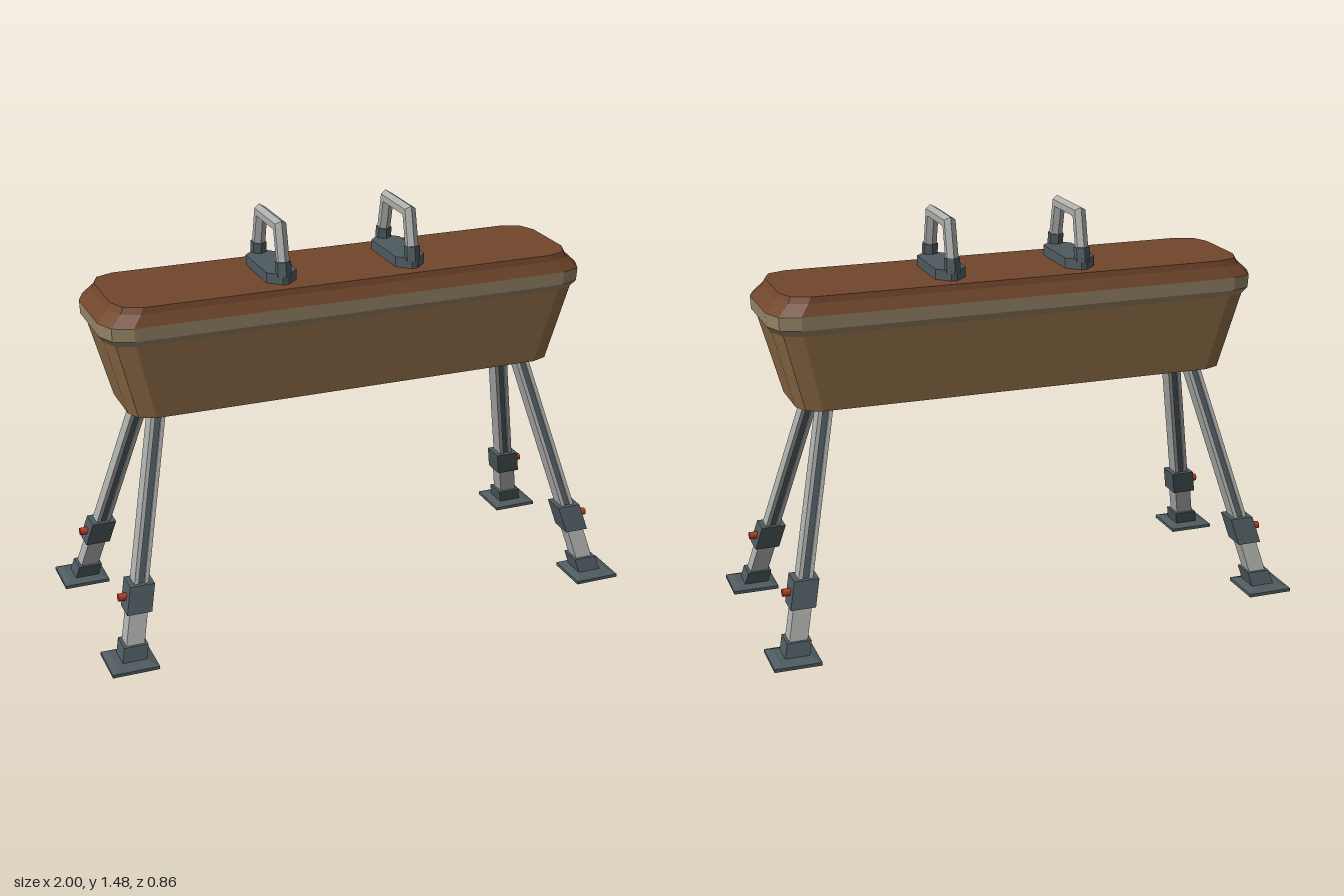
import * as THREE from 'three';

const mat = (name, color) => {
  const m = new THREE.MeshStandardMaterial({ color });
  m.name = name;
  return m;
};

// Faceted solid through a list of rings, counter-clockwise seen against the direction of travel
function loft(rings) {
  const pos = [];
  const tri = (a, b, c) => pos.push(...a, ...b, ...c);
  const n = rings[0].length;
  for (let k = 0; k < rings.length - 1; k++) {
    const a = rings[k], b = rings[k + 1];
    for (let i = 0; i < n; i++) {
      const j = (i + 1) % n;
      tri(a[i], a[j], b[j]);
      tri(a[i], b[j], b[i]);
    }
  }
  const first = rings[0], last = rings[rings.length - 1];
  for (let i = 1; i < n - 1; i++) {
    tri(first[0], first[i + 1], first[i]);
    tri(last[0], last[i], last[i + 1]);
  }
  const g = new THREE.BufferGeometry();
  g.setAttribute('position', new THREE.Float32BufferAttribute(pos, 3));
  g.computeVertexNormals();
  return g;
}

// Horizontal rectangle with rounded corners of a few facets; r = 0 gives a plain rectangle
function ring(cx, y, cz, hx, hz, r = 0, facets = 2) {
  const pts = [];
  const steps = r > 0 ? facets : 0;
  for (let q = 0; q < 4; q++) {
    const sx = q === 0 || q === 3 ? 1 : -1;
    const sz = q < 2 ? -1 : 1;
    for (let i = 0; i <= steps; i++) {
      const t = (q + (steps ? i / steps : 0)) * Math.PI / 2;
      pts.push([
        cx + sx * (hx - r) + r * Math.cos(t), y,
        cz + sz * (hz - r) - r * Math.sin(t)]);
    }
  }
  return pts;
}

// Hexagonal bar along a path of [z, y] points with mitred bends
function bar(path, radius) {
  const dir = (a, b) => new THREE.Vector2(b[0] - a[0], b[1] - a[1]).normalize();
  return loft(path.map((p, k) => {
    const d0 = dir(path[Math.max(k - 1, 0)], path[Math.max(k, 1)]);
    const d1 = k < path.length - 1 ? dir(p, path[k + 1]) : d0;
    const d = d0.clone().add(d1).normalize();
    const stretch = 1 / d.dot(d1);
    return Array.from({ length: 6 }, (_, i) => {
      const t = i * Math.PI / 3 + Math.PI / 6;
      const u = radius * Math.cos(t), v = radius * Math.sin(t) * stretch;
      return [u, p[1] + v * d.x, p[0] - v * d.y];
    });
  }));
}

export function createModel() {
  const model = new THREE.Group();
  model.name = 'pommelHorse';
  const leather = mat('darkLeather', 0x70462b);
  const hide = mat('tanHide', 0x8f6c47);
  const trim = mat('trimBand', 0x978568);
  const metal = mat('lightMetal', 0xacaeac);
  const slate = mat('slateFittings', 0x4f5b60);
  const red = mat('redKnob', 0xb03a26);
  const add = (parent, name, geometry, material) => {
    const m = new THREE.Mesh(geometry, material);
    m.name = name;
    parent.add(m);
    return m;
  };

  // Padded body: tapered lower hide, trim band and top pad, [y, half x, half z, corner]
  const layers = (...rows) => loft(rows.map(([y, hx, hz, r]) => ring(0, y, 0, hx, hz, r)));
  add(model, 'lowerBody', layers([0.84, 0.815, 0.173, 0.08], [1.125, 0.893, 0.207, 0.09]), hide);
  add(model, 'trimBand', layers([1.125, 0.893, 0.207, 0.09], [1.15, 0.912, 0.226, 0.1],
    [1.198, 0.914, 0.228, 0.1]), trim);
  add(model, 'topPad', layers([1.198, 0.914, 0.228, 0.1], [1.238, 0.872, 0.206, 0.09],
    [1.26, 0.862, 0.2, 0.09]), leather);

  // Two handles on top
  for (const x of [-0.245, 0.245]) {
    const handle = new THREE.Group();
    handle.name = x > 0 ? 'leftHandle' : 'rightHandle';
    handle.position.x = x;
    model.add(handle);
    add(handle, 'handleBase', loft([
      ring(0, 1.255, 0, 0.056, 0.155, 0.045, 1), ring(0, 1.297, 0, 0.056, 0.155, 0.045, 1)]), slate);
    add(handle, 'handleGrip', bar([[0.134, 1.29], [0.127, 1.335], [0.098, 1.456],
      [-0.098, 1.456], [-0.127, 1.335], [-0.134, 1.29]], 0.024), metal);
    for (const s of [-1, 1]) {
      add(handle, 'handleClamp', bar([[0.133 * s, 1.285], [0.127 * s, 1.337]], 0.029), slate);
    }
  }

  // Four splayed legs made of slanted prisms
  for (const sx of [-1, 1]) for (const sz of [-1, 1]) {
    const leg = new THREE.Group();
    leg.name = (sz > 0 ? 'front' : 'back') + (sx > 0 ? 'Left' : 'Right') + 'Leg';
    model.add(leg);
    const cx = y => sx * (0.71 + 0.24 * (0.84 - y));
    const cz = y => sz * (0.088 + 0.304 * (0.84 - y));
    const prism = (y0, y1, wx, wz, dx = 0) => loft([y0, y1].map(y =>
      ring(cx(y) + dx, y, cz(y), wx / 2, wz / 2)));

    // Upper channel with recessed dark web
    for (const s of [-1, 1]) add(leg, 'channelSide', prism(0.25, 0.86, 0.015, 0.06, s * 0.0185), metal);
    add(leg, 'channelWeb', prism(0.25, 0.86, 0.024, 0.048), slate);
    // Lower tube, height collar and its knob
    add(leg, 'lowerTube', prism(0.03, 0.2, 0.066, 0.063), metal);
    add(leg, 'collar', prism(0.178, 0.272, 0.09, 0.087), slate);
    const knob = add(leg, 'knob', new THREE.CylinderGeometry(0.014, 0.014, 0.04, 12), red);
    knob.rotation.z = Math.PI / 2;
    knob.position.set(sx * 0.91, 0.225, cz(0.225));
    // Foot socket and bevelled plate
    add(leg, 'footSocket', prism(0.012, 0.07, 0.088, 0.085), slate);
    const fx = sx * 0.915, fz = sz * 0.344;
    add(leg, 'footPlate', loft([ring(fx, 0, fz, 0.085, 0.085),
      ring(fx, 0.012, fz, 0.085, 0.085), ring(fx, 0.021, fz, 0.06, 0.06)]), slate);
  }
  return model;
}
